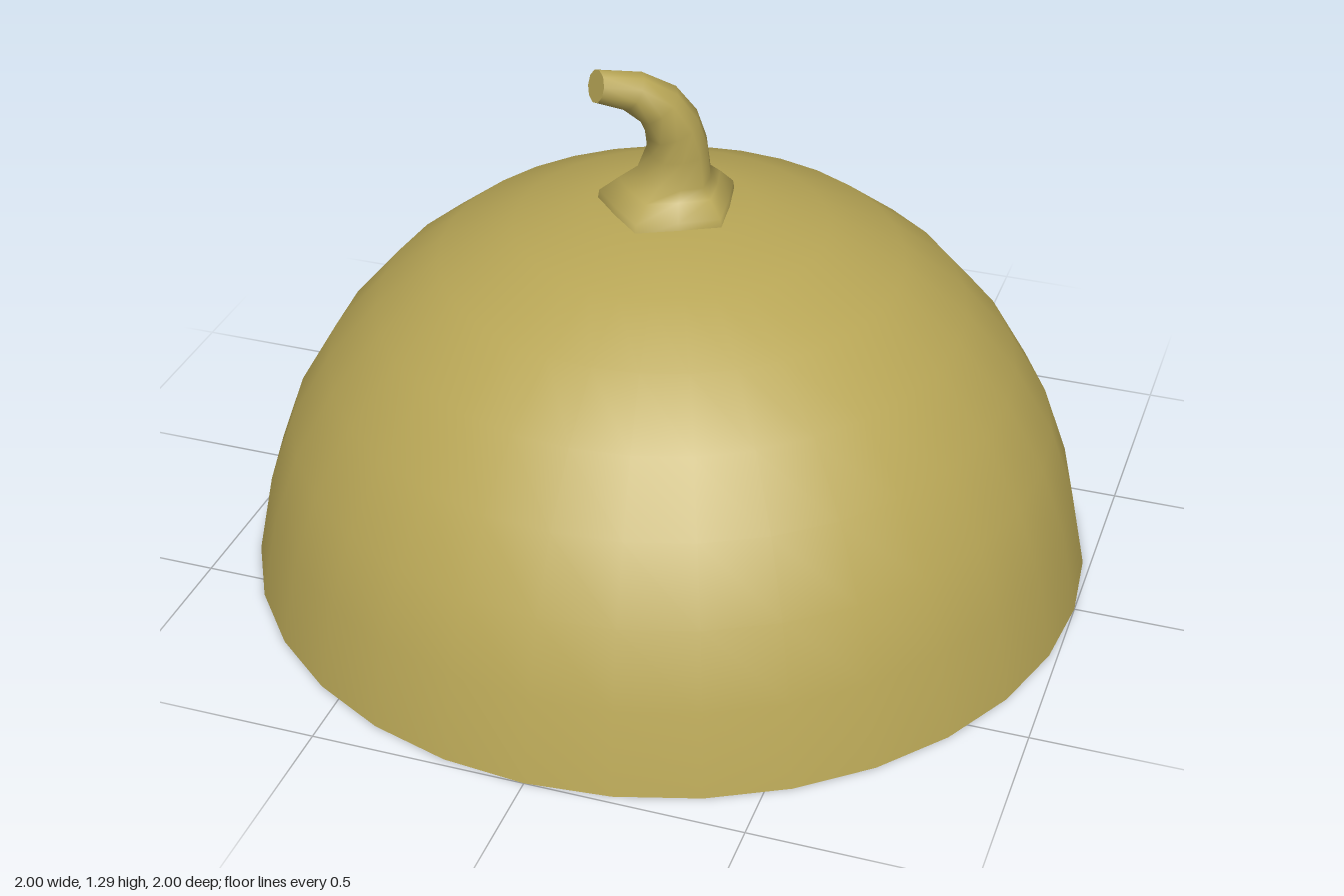
import * as THREE from 'three';

// Skin of closed loops; each ring is { c: centre, t: direction, r: radius, lobe: depth of the five ribs }
function ringPoints({ c, t, r, lobe }, sides) {
  const q = new THREE.Quaternion().setFromUnitVectors(
    new THREE.Vector3(0, 1, 0), new THREE.Vector3(...t).normalize());
  const points = [];
  for (let i = 0; i < sides; i++) {
    const a = (i / sides) * Math.PI * 2 + 0.47;
    const rr = r * (1 + lobe * Math.cos((i / sides) * Math.PI * 10));
    points.push(new THREE.Vector3(Math.cos(a) * rr, 0, Math.sin(a) * rr)
      .applyQuaternion(q).add(new THREE.Vector3(...c)));
  }
  return points;
}

function meshFrom(points, index, material, name) {
  const geometry = new THREE.BufferGeometry().setFromPoints(points);
  geometry.setIndex(index);
  geometry.computeVertexNormals();
  const mesh = new THREE.Mesh(geometry, material);
  mesh.name = name;
  return mesh;
}

function createStem(material) {
  const sides = 10;
  const rings = [
    { c: [-0.005, 0.9, 0], t: [0, 1, 0], r: 0.155, lobe: 0.09 },
    { c: [-0.005, 0.932, 0], t: [0, 1, 0], r: 0.15, lobe: 0.09 },
    { c: [0, 0.968, 0], t: [0, 1, 0], r: 0.115, lobe: 0.08 },
    { c: [0.013, 1.0, 0.008], t: [0.1, 1, 0.05], r: 0.084, lobe: 0.05 },
    { c: [0.021, 1.07, 0.016], t: [0, 1, 0.2], r: 0.07, lobe: 0.03 },
    { c: [0.013, 1.13, 0.033], t: [-0.25, 1, 0.35], r: 0.064, lobe: 0.03 },
    { c: [-0.012, 1.19, 0.06], t: [-0.6, 1, 0.5], r: 0.056, lobe: 0.02 },
    { c: [-0.06, 1.23, 0.092], t: [-0.75, 0.55, 0.55], r: 0.047, lobe: 0 },
    { c: [-0.13, 1.25, 0.135], t: [-0.65, 0.22, 0.65], r: 0.038, lobe: 0 },
  ];
  const points = rings.flatMap((ring) => ringPoints(ring, sides));
  const index = [];
  for (let j = 0; j < rings.length - 1; j++) {
    for (let i = 0; i < sides; i++) {
      const a = j * sides + i, b = j * sides + ((i + 1) % sides);
      index.push(a, a + sides, b, b, a + sides, b + sides);
    }
  }
  const stem = new THREE.Group();
  stem.name = 'stem';
  stem.add(meshFrom(points, index, material, 'stalk'));

  // Flat cut end, with its own normals
  const cap = [];
  for (let i = 1; i < sides - 1; i++) cap.push(0, i + 1, i);
  stem.add(meshFrom(points.slice(-sides), cap, material, 'stalkEnd'));
  return stem;
}

export function createModel() {
  const model = new THREE.Group();
  model.name = 'halfGourd';
  const skin = new THREE.MeshStandardMaterial({ color: 0xb8a656 });
  skin.name = 'olive skin';
  const flesh = new THREE.MeshStandardMaterial({ color: 0xd8901c });
  flesh.name = 'orange flesh';

  const add = (geometry, material, name) => {
    const mesh = new THREE.Mesh(geometry, material);
    mesh.name = name;
    model.add(mesh);
    return mesh;
  };

  // Rounded shell
  const profile = [
    [1, 0], [0.96, 0.2], [0.9, 0.37], [0.807, 0.53], [0.687, 0.67],
    [0.54, 0.785], [0.365, 0.865], [0.19, 0.912], [0, 0.92],
  ].map(([r, y]) => new THREE.Vector2(r, y));
  add(new THREE.LatheGeometry(profile, 32), skin, 'dome');

  // Cut face: rind ring around the flesh, facing down
  add(new THREE.RingGeometry(0.88, 1, 32), skin, 'rind').rotation.x = Math.PI / 2;
  add(new THREE.CircleGeometry(0.88, 32), flesh, 'cutFlesh').rotation.x = Math.PI / 2;

  model.add(createStem(skin));
  return model;
}
